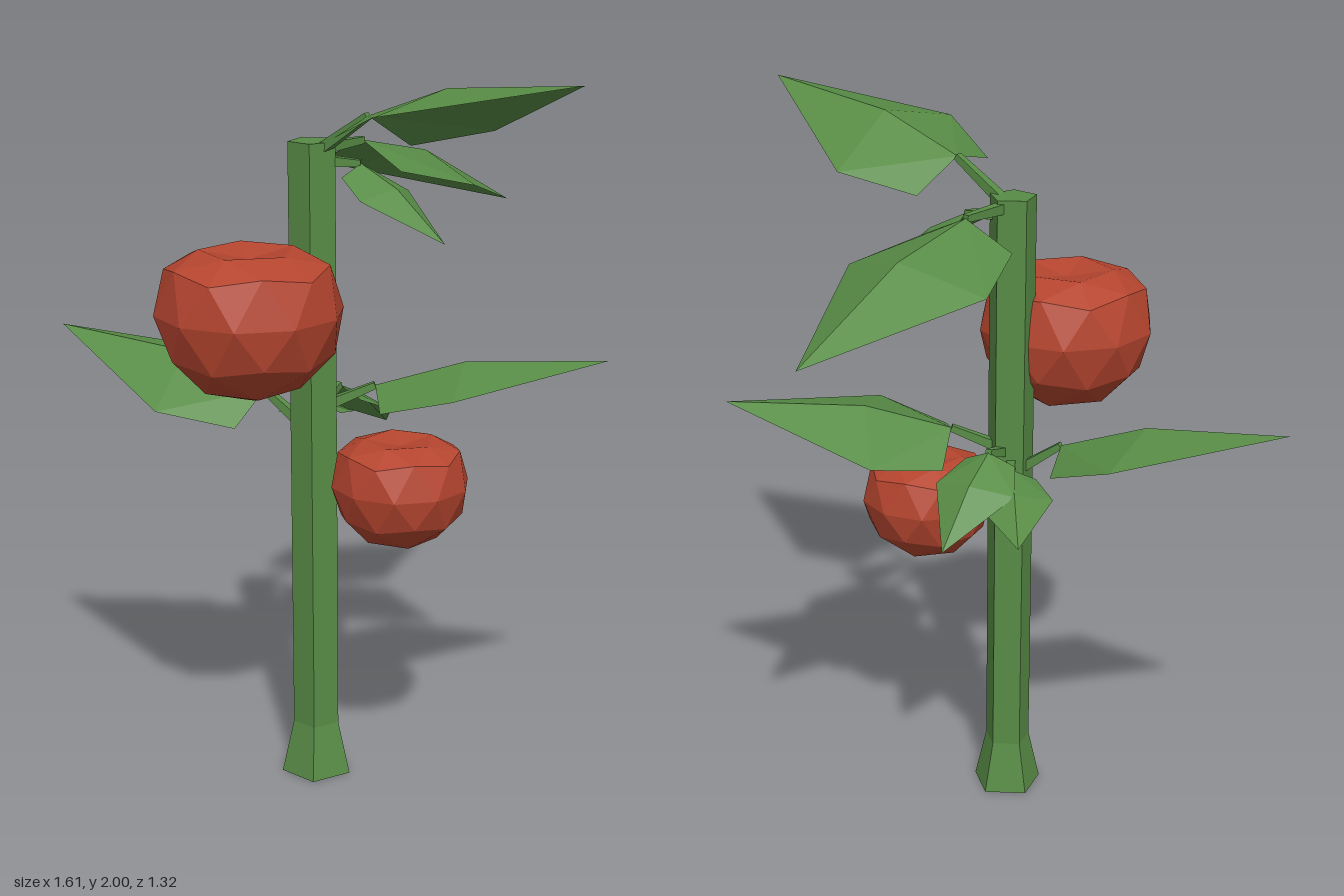
import * as THREE from 'three';

const mat = (color, side = THREE.FrontSide) => new THREE.MeshStandardMaterial({ color, side, flatShading: true });
const green = mat(0x588c46);
const leafGreen = mat(0x588c46, THREE.DoubleSide);
const red = mat(0xb5452f);
const STEM_X = -0.055, STEM_Z = 0.177;

function add(parent, name, geometry, material) {
  const mesh = new THREE.Mesh(geometry, material);
  mesh.name = name;
  parent.add(mesh);
  return mesh;
}

// Unit leaf along +z, folded down on both sides of a raised midrib
function leafGeometry() {
  const points = [
    0, 0, 0, 0, 0.06, 0.39, 0, 0, 1, // midrib: base, middle, tip
    0.215, -0.1, 0.02, 0.34, -0.065, 0.33, // one side: inner and wide corner
    -0.215, -0.1, 0.02, -0.34, -0.065, 0.33,
  ];
  const g = new THREE.BufferGeometry();
  g.setAttribute('position', new THREE.Float32BufferAttribute(points, 3));
  g.setIndex([0, 1, 4, 0, 4, 3, 1, 2, 4, 0, 6, 1, 0, 5, 6, 1, 6, 2]);
  g.computeVertexNormals();
  return g;
}

// Low-poly ball with a pole up, its top flattened and slightly dented
function fruitGeometry() {
  const g = new THREE.IcosahedronGeometry(1, 1);
  g.rotateX(-Math.atan((1 + Math.sqrt(5)) / 2));
  g.rotateY(Math.PI / 2);
  const p = g.attributes.position;
  for (let i = 0; i < p.count; i++) {
    const y = p.getY(i);
    if (y > 0.95) p.setY(i, 0.57);
    else if (y > 0.7) p.setY(i, 0.667);
  }
  g.computeVertexNormals();
  return g;
}

// Four-sided stalk between two points
function stalk(parent, from, to) {
  const length = from.distanceTo(to);
  const g = new THREE.CylinderGeometry(0.013, 0.022, length, 4);
  g.rotateY(Math.PI / 4);
  g.rotateX(Math.PI / 2);
  const mesh = add(parent, 'leafStalk', g, green);
  mesh.position.copy(from).lerp(to, 0.5);
  mesh.lookAt(to);
}

export function createModel() {
  const root = new THREE.Group();
  root.name = 'fruitingPlant';

  // Five-sided stem with a flared foot
  const stem = add(root, 'stem', new THREE.CylinderGeometry(0.066, 0.066, 1.64, 5, 1, false, Math.PI), green);
  stem.position.set(STEM_X, 0.97, STEM_Z);
  const foot = add(root, 'stemFoot', new THREE.CylinderGeometry(0.066, 0.1, 0.15, 5, 1, false, Math.PI), green);
  foot.position.set(STEM_X, 0.075, STEM_Z);

  // Leaves: height on the stem, leaf base, leaf tip, roll
  const leaves = [
    ['topLeftLeaf', 1.75, [0.13, 1.87, 0.167], [0.8, 2.0, 0.165], 0.175],
    ['topBackLeaf', 1.765, [-0.055, 1.77, -0.02], [-0.055, 1.525, -0.66], 0],
    ['topSmallLeaf', 1.74, [0.06, 1.735, 0.115], [0.32, 1.55, 0.085], 0],
    ['middleLeftLeaf', 1.06, [0.07, 1.13, 0.07], [0.555, 1.203, -0.325], 0.14],
    ['middleRightLeaf', 0.99, [-0.2, 1.1, 0.22], [-0.805, 1.222, 0.415], 0.16],
    ['lowerRightLeaf', 1.03, [-0.13, 1.05, 0.09], [-0.33, 0.945, -0.13], 0],
    ['lowerBackLeaf', 1.06, [-0.08, 1.1, 0.05], [-0.155, 0.92, -0.235], 0],
  ];
  const blade = leafGeometry();
  for (const [name, y, b, t, roll] of leaves) {
    const group = new THREE.Group();
    group.name = name;
    root.add(group);
    const base = new THREE.Vector3(...b), tip = new THREE.Vector3(...t);
    const mesh = add(group, 'leafBlade', blade, leafGreen);
    mesh.position.copy(base);
    mesh.lookAt(tip);
    mesh.rotateZ(-roll);
    mesh.scale.setScalar(base.distanceTo(tip));
    stalk(group, new THREE.Vector3(STEM_X, y, STEM_Z), base);
  }

  // Fruits: centre and radius
  const fruit = fruitGeometry();
  for (const [name, x, y, z, r] of [
    ['upperFruit', -0.06, 1.375, 0.415, 0.249],
    ['lowerFruit', 0.185, 0.885, 0.1, 0.188],
  ]) {
    const mesh = add(root, name, fruit, red);
    mesh.position.set(x, y, z);
    mesh.scale.set(r, r * 0.96, r);
  }
  return root;
}
